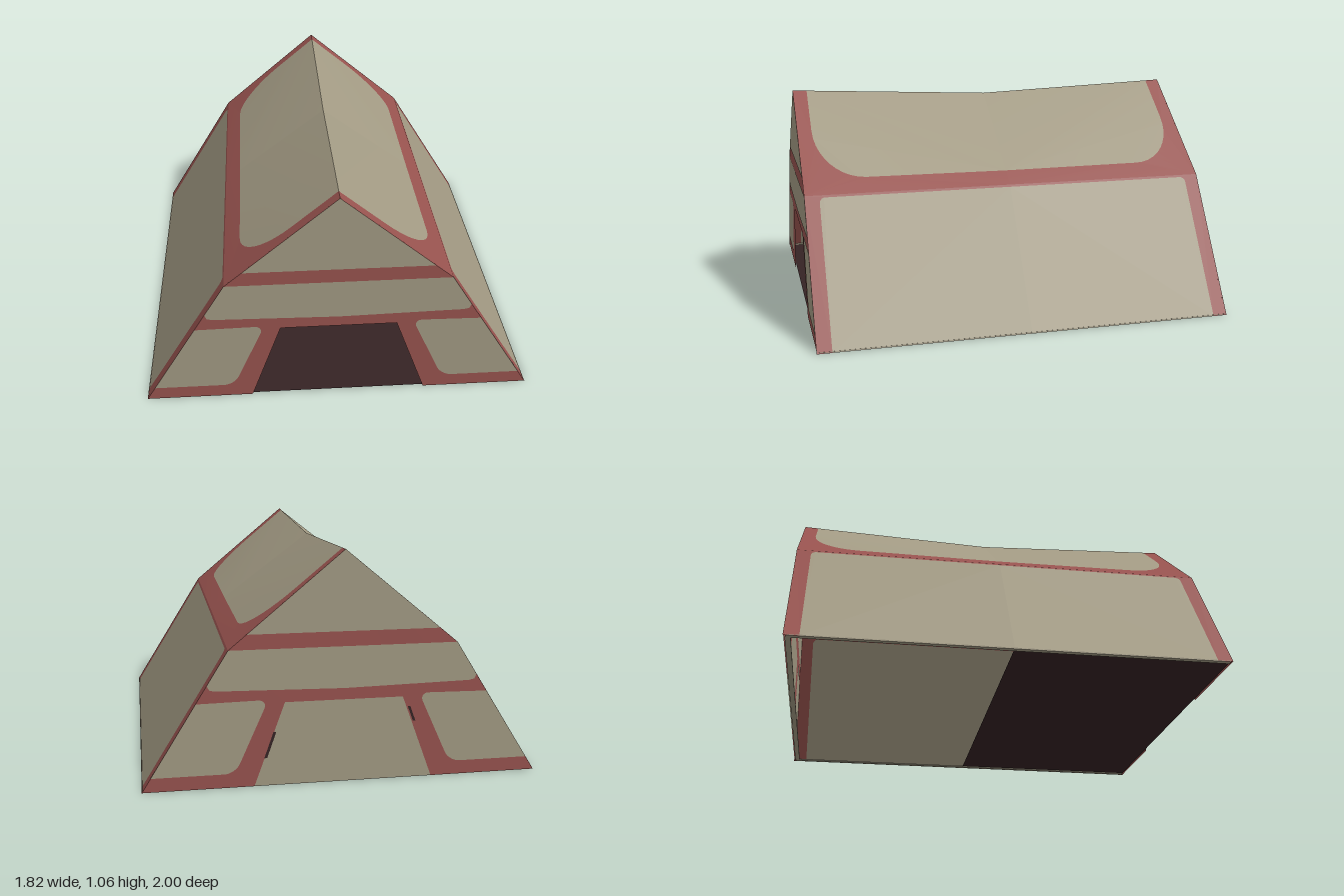
import * as THREE from 'three';

const mat = (name, color) => {
  const m = new THREE.MeshStandardMaterial({ color, side: THREE.DoubleSide });
  m.name = name;
  return m;
};

// Closed outline from [a, b, cornerRadius] points
function outline(points) {
  const s = new THREE.Shape();
  const n = points.length;
  const toward = (p, q, d) => {
    const l = Math.hypot(q[0] - p[0], q[1] - p[1]);
    return [p[0] + (q[0] - p[0]) * d / l, p[1] + (q[1] - p[1]) * d / l];
  };
  points.forEach((p, i) => {
    const r = p[2] || 0;
    const start = r ? toward(p, points[(i + n - 1) % n], r) : p;
    if (i === 0) s.moveTo(start[0], start[1]);
    else s.lineTo(start[0], start[1]);
    if (r) {
      const end = toward(p, points[(i + 1) % n], r);
      const mix = (q) => [q[0] + (p[0] - q[0]) * 0.55, q[1] + (p[1] - q[1]) * 0.55];
      s.bezierCurveTo(...mix(start), ...mix(end), ...end);
    }
  });
  s.closePath();
  return s;
}

// Flat outline bent onto a surface by a rule
function panel(points, rule) {
  const g = new THREE.ShapeGeometry(outline(points), 10);
  if (rule) {
    const p = g.attributes.position;
    for (let i = 0; i < p.count; i++) p.setXYZ(i, ...rule(p.getX(i), p.getY(i)));
    g.computeVertexNormals();
  }
  return g;
}

const mirrorX = (points) => points.map(([x, y, r]) => [-x, y, r]).reverse();

export function createModel() {
  const tent = new THREE.Group();
  tent.name = 'tent';
  const canvas = mat('khaki canvas', 0xa39b84);
  const trim = mat('red trim', 0x98534f);
  const dark = mat('dark floor', 0x352324);

  const add = (parent, name, geometry, material) => {
    const m = new THREE.Mesh(geometry, material);
    m.name = name;
    parent.add(m);
    return m;
  };

  // Upper roof sags at the middle of the ridge; lower sides slope to the ground
  const roof = (z, x) => [x, 0.63 + (0.39 + 0.043 * z) * (1 - x / 0.52), z];
  const side = (y, z) => [0.91 - 0.39 * y / 0.63, y, z];
  const quarters = [
    ['roofCanvas', panel([[0, 0], [0.93, 0], [0.93, 0.445, 0.235], [0, 0.445]], roof), canvas],
    ['roofTrim', panel([[0, 0.445], [0.93, 0.445, 0.235], [0.93, 0], [1, 0], [1, 0.52], [0, 0.52]], roof), trim],
    ['sideCanvas', panel([[0, 0], [0.62, 0], [0.62, 0.93, 0.025], [0, 0.93]], side), canvas],
    ['sideTrim', panel([[0.62, 0], [0.62, 0.93, 0.025], [0, 0.93], [0, 1], [0.63, 1], [0.63, 0]], side), trim],
  ];
  for (const sx of [1, -1]) {
    for (const sz of [1, -1]) {
      for (const [name, geometry, material] of quarters) {
        add(tent, name, geometry, material).scale.set(sx, 1, sz);
      }
    }
  }

  // End walls: red sheet with a doorway, khaki panels on both faces
  const wall = panel([[-0.91, 0], [-0.41, 0], [-0.27, 0.385], [0.27, 0.385], [0.41, 0],
    [0.91, 0], [0.52, 0.63], [0, 1.063], [-0.52, 0.63]]);
  const lower = [[0.495, 0.065, 0.05], [0.87, 0.065], [0.665, 0.395], [0.345, 0.4, 0.045]];
  const wallPanels = [
    ['gablePanel', panel([[-0.437, 0.698], [0.437, 0.698], [0, 1.063]])],
    ['middlePanel', panel([[-0.52, 0.63], [-0.615, 0.476], [-0.605, 0.455], [-0.58, 0.449],
      [0, 0.438], [0.58, 0.449], [0.605, 0.455], [0.615, 0.476], [0.52, 0.63]])],
    ['leftLowerPanel', panel(lower)],
    ['rightLowerPanel', panel(mirrorX(lower))],
  ];
  for (const end of [1, -1]) {
    const group = new THREE.Group();
    group.name = end > 0 ? 'frontWall' : 'backWall';
    if (end < 0) group.rotation.y = Math.PI;
    add(group, 'wallTrim', wall, trim).position.z = 0.997;
    for (const z of [1, 0.994]) {
      for (const [name, geometry] of wallPanels) add(group, name, geometry, canvas).position.z = z;
    }
    tent.add(group);

    // The back doorway is closed by a flap with narrow gaps at its edges
    if (end < 0) {
      const flap = panel([[-0.41, 0], [0.41, 0], [0.27, 0.385], [-0.27, 0.385]]);
      add(group, 'doorFlap', flap, canvas).position.z = 0.997;
      const gaps = [[[-0.365, 0.13], [-0.352, 0.13], [-0.31, 0.25], [-0.323, 0.25]],
        [[0.318, 0.27], [0.33, 0.27], [0.305, 0.34], [0.293, 0.34]]];
      for (const gap of gaps) add(group, 'flapGap', panel(gap), dark).position.z = 1;
    }
  }

  // Groundsheet under the front half
  const floor = add(tent, 'groundsheet', new THREE.PlaneGeometry(1.8, 0.99), dark);
  floor.rotation.x = -Math.PI / 2;
  floor.position.set(0, 0.004, 0.495);

  // Narrow hem along the bottom edges
  const hem = (w, d, x, z) => add(tent, 'hem', new THREE.BoxGeometry(w, 0.006, d), canvas).position.set(x, 0.003, z);
  hem(0.025, 1.98, 0.895, 0);
  hem(0.025, 1.98, -0.895, 0);
  hem(1.77, 0.025, 0, -0.98);

  return tent;
}
